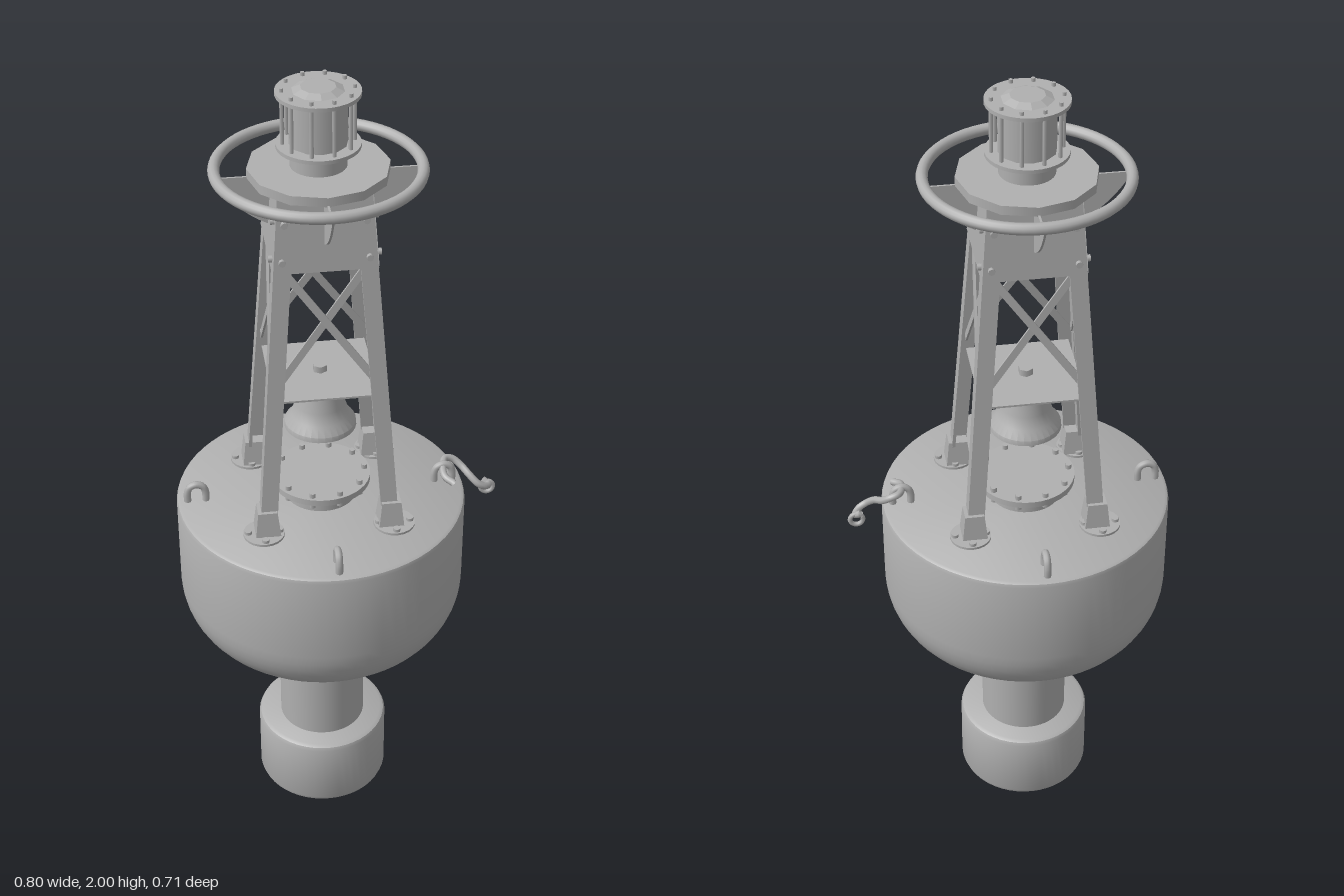
import * as THREE from 'three';
import { toCreasedNormals } from 'three/addons/utils/BufferGeometryUtils.js';

const steel = new THREE.MeshStandardMaterial({ color: 0xb0b0b0 });
steel.name = 'grey steel';
steel.side = THREE.DoubleSide;

function add(parent, name, geometry, x = 0, y = 0, z = 0) {
  const mesh = new THREE.Mesh(geometry, steel);
  mesh.name = name;
  mesh.position.set(x, y, z);
  parent.add(mesh);
  return mesh;
}

// Turned part from [radius, height] pairs, listed upward
function turned(points, sides = 48) {
  const lathe = new THREE.LatheGeometry(points.map(([r, y]) => new THREE.Vector2(r, y)), sides);
  return toCreasedNormals(lathe, 0.6);
}

const disc = (r, h, sides = 32) => new THREE.CylinderGeometry(r, r, h, sides);

// Ring of upright bolts or rods
function boltCircle(parent, name, count, radius, y, r, h) {
  for (let i = 0; i < count; i++) {
    const a = ((i + 0.5) / count) * Math.PI * 2;
    add(parent, name, disc(r, h, 6), Math.sin(a) * radius, y, Math.cos(a) * radius);
  }
}

function tube(points, r, segments = 32) {
  const path = new THREE.CatmullRomCurve3(points.map((p) => new THREE.Vector3(...p)));
  return new THREE.TubeGeometry(path, segments, r, 8);
}

// Outer half width of the tapering tower at a height
const towerHalf = (y) => 0.165 - 0.073 * (y - 0.97);

// Box between two heights, whose sides follow the taper of the tower corner
function slantedBox(w, d, y0, y1, insetX, insetZ) {
  const g = new THREE.BoxGeometry(w, y1 - y0, d);
  const p = g.attributes.position;
  for (let i = 0; i < p.count; i++) {
    const y = p.getY(i) + (y0 + y1) / 2;
    p.setXYZ(i, p.getX(i) + towerHalf(y) - insetX, y, p.getZ(i) + towerHalf(y) - insetZ);
  }
  g.computeVertexNormals();
  return g;
}

// Flat bar between two points of a tower face
function bar(parent, name, a, b, width, thick) {
  const from = new THREE.Vector3(...a), to = new THREE.Vector3(...b);
  const mesh = add(parent, name, new THREE.BoxGeometry(width, from.distanceTo(to), thick));
  mesh.position.copy(from).add(to).multiplyScalar(0.5);
  mesh.quaternion.setFromUnitVectors(new THREE.Vector3(0, 1, 0), to.sub(from).normalize());
}

export function createModel() {
  const model = new THREE.Group();
  model.name = 'bell buoy';
  const buoy = new THREE.Group();
  buoy.name = 'buoy';
  buoy.position.x = -0.044;
  model.add(buoy);

  // Counterweight, tail tube and float
  add(buoy, 'counterweight', turned([[0, 0.004], [0.155, 0.004], [0.164, 0.008], [0.168, 0.018],
    [0.168, 0.186], [0.164, 0.195], [0.155, 0.2], [0, 0.2]]));
  add(buoy, 'counterweightBase', disc(0.155, 0.006), 0, 0.003, 0);
  add(buoy, 'tailTube', new THREE.CylinderGeometry(0.11, 0.11, 0.33, 48, 1, true), 0, 0.36, 0);
  add(buoy, 'tailFlange', disc(0.168, 0.012, 48), 0, 0.514, 0);
  boltCircle(buoy, 'tailBolt', 8, 0.14, 0.506, 0.011, 0.018);
  const hull = [[0, 0.52], [0.2, 0.52]];
  for (let i = 0; i <= 10; i++) {
    const a = (i / 10) * Math.PI / 2;
    hull.push([0.216 + 0.14 * Math.sin(a), 0.68 - 0.16 * Math.cos(a)]);
  }
  hull.push([0.356, 0.908], [0.353, 0.916], [0.346, 0.92], [0, 0.92]);
  add(buoy, 'float', turned(hull, 64));

  // Deck hatch
  add(buoy, 'hatchNeck', disc(0.088, 0.05), 0, 0.942, 0);
  add(buoy, 'hatchCover', disc(0.122, 0.016, 40), 0, 0.969, 0);
  boltCircle(buoy, 'hatchBolt', 10, 0.108, 0.968, 0.008, 0.042);

  // Lifting eyes
  for (let i = 0; i < 4; i++) {
    const arm = new THREE.Group();
    arm.name = 'liftingEye';
    arm.rotation.y = i * Math.PI / 2;
    buoy.add(arm);
    add(arm, 'eyeBar', tube([[0.285, 0.91, 0], [0.285, 0.945, 0], [0.291, 0.96, 0], [0.307, 0.967, 0],
      [0.323, 0.96, 0], [0.329, 0.945, 0], [0.329, 0.91, 0]], 0.009));
  }

  // Hook and link hanging from one lifting eye
  add(model, 'hook', tube([[0.28, 0.945, 0.052], [0.262, 0.952, 0.032], [0.262, 0.962, 0], [0.272, 0.966, -0.026],
    [0.292, 0.96, -0.03], [0.312, 0.945, -0.018], [0.33, 0.93, 0.006], [0.35, 0.912, 0.02],
    [0.37, 0.9, 0.016], [0.379, 0.895, 0], [0.366, 0.903, -0.01]], 0.009, 48));
  add(model, 'link', new THREE.TorusGeometry(0.016, 0.006, 8, 20), 0.377, 0.884, -0.005);

  // Tower: four identical quarters, each with one corner leg and one face
  for (let i = 0; i < 4; i++) {
    const quarter = new THREE.Group();
    quarter.name = 'towerQuarter';
    quarter.rotation.y = i * Math.PI / 2;
    buoy.add(quarter);

    // Angle-iron leg
    add(quarter, 'legFlangeX', slantedBox(0.04, 0.008, 0.93, 1.79, 0.02, 0.004));
    add(quarter, 'legFlangeZ', slantedBox(0.008, 0.04, 0.93, 1.79, 0.004, 0.02));

    // Foot with its bolts
    const foot = new THREE.CylinderGeometry(0.033, 0.043, 0.066, 4, 1).toNonIndexed();
    foot.rotateY(Math.PI / 4);
    foot.computeVertexNormals();
    add(quarter, 'footSocket', foot, 0.149, 0.957, 0.149);
    add(quarter, 'footPlate', disc(0.05, 0.006, 20), 0.158, 0.923, 0.158);
    for (const [dx, dz] of [[0.038, 0], [-0.038, 0], [0, 0.038], [0, -0.038]]) {
      add(quarter, 'footBolt', disc(0.009, 0.012, 8), 0.158 + dx, 0.928, 0.158 + dz);
    }

    // Crossed braces
    const lo = 1.31, hi = 1.63;
    for (const s of [1, -1]) {
      const inset = 0.012 + s * 0.003;
      bar(quarter, 'crossBrace', [-s * (towerHalf(lo) - 0.02), lo, towerHalf(lo) - inset],
        [s * (towerHalf(hi) - 0.008), hi, towerHalf(hi) - inset], 0.018, 0.005);
    }

    // Head panel with bolts
    const a = towerHalf(1.61), b = towerHalf(1.795);
    const panel = new THREE.BufferGeometry();
    panel.setAttribute('position', new THREE.Float32BufferAttribute(
      [-a, 1.61, a + 0.002, a, 1.61, a + 0.002, b, 1.795, b + 0.002, -b, 1.795, b + 0.002], 3));
    panel.setIndex([0, 1, 2, 0, 2, 3]);
    panel.computeVertexNormals();
    add(quarter, 'headPanel', panel);
    for (const y of [1.64, 1.73]) {
      for (const s of [-1, 1]) {
        const bolt = add(quarter, 'panelBolt', disc(0.008, 0.014, 8), s * (towerHalf(y) - 0.018), y, towerHalf(y) + 0.004);
        bolt.rotation.x = Math.PI / 2;
      }
    }

    // Curved fin carrying the guard ring
    const fin = new THREE.Shape();
    fin.moveTo(0.1, 1.795);
    fin.lineTo(0.238, 1.795);
    fin.quadraticCurveTo(0.185, 1.705, 0.105, 1.672);
    fin.closePath();
    add(quarter, 'ringFin', new THREE.ExtrudeGeometry(fin, { depth: 0.005, bevelEnabled: false }), 0, 0, -0.0025);
  }

  // Guard ring and lantern platform
  const ring = add(buoy, 'guardRing', new THREE.TorusGeometry(0.232, 0.0135, 12, 64), 0, 1.805, 0);
  ring.rotation.x = Math.PI / 2;
  add(buoy, 'platform', disc(0.161, 0.022, 12), 0, 1.803, 0);

  // Bell on its hanger plate
  add(buoy, 'hangerPlate', new THREE.BoxGeometry(0.25, 0.005, 0.25), 0, 1.272, 0);
  add(buoy, 'hangerNut', disc(0.018, 0.02, 6), 0, 1.281, 0);
  add(buoy, 'bell', turned([[0.076, 1.122], [0.087, 1.122], [0.086, 1.135], [0.07, 1.155], [0.06, 1.185],
    [0.055, 1.225], [0.049, 1.25], [0.036, 1.264], [0, 1.27]], 32));
  add(buoy, 'bellUnderside', disc(0.078, 0.004), 0, 1.126, 0);
  add(buoy, 'clapper', new THREE.SphereGeometry(0.019, 16, 12), 0, 1.108, 0);

  // Lantern
  add(buoy, 'lanternBase', disc(0.064, 0.05), 0, 1.837, 0);
  add(buoy, 'lanternLowerFlange', disc(0.095, 0.009), 0, 1.864, 0);
  add(buoy, 'lanternGlass', disc(0.066, 0.12, 12), 0, 1.926, 0);
  add(buoy, 'lanternUpperFlange', disc(0.095, 0.009), 0, 1.987, 0);
  const cap = new THREE.CylinderGeometry(0.04, 0.06, 0.009, 10).toNonIndexed();
  cap.computeVertexNormals();
  add(buoy, 'lanternCap', cap, 0, 1.9955, 0);
  boltCircle(buoy, 'lanternRod', 10, 0.08, 1.927, 0.005, 0.146);
  return model;
}
